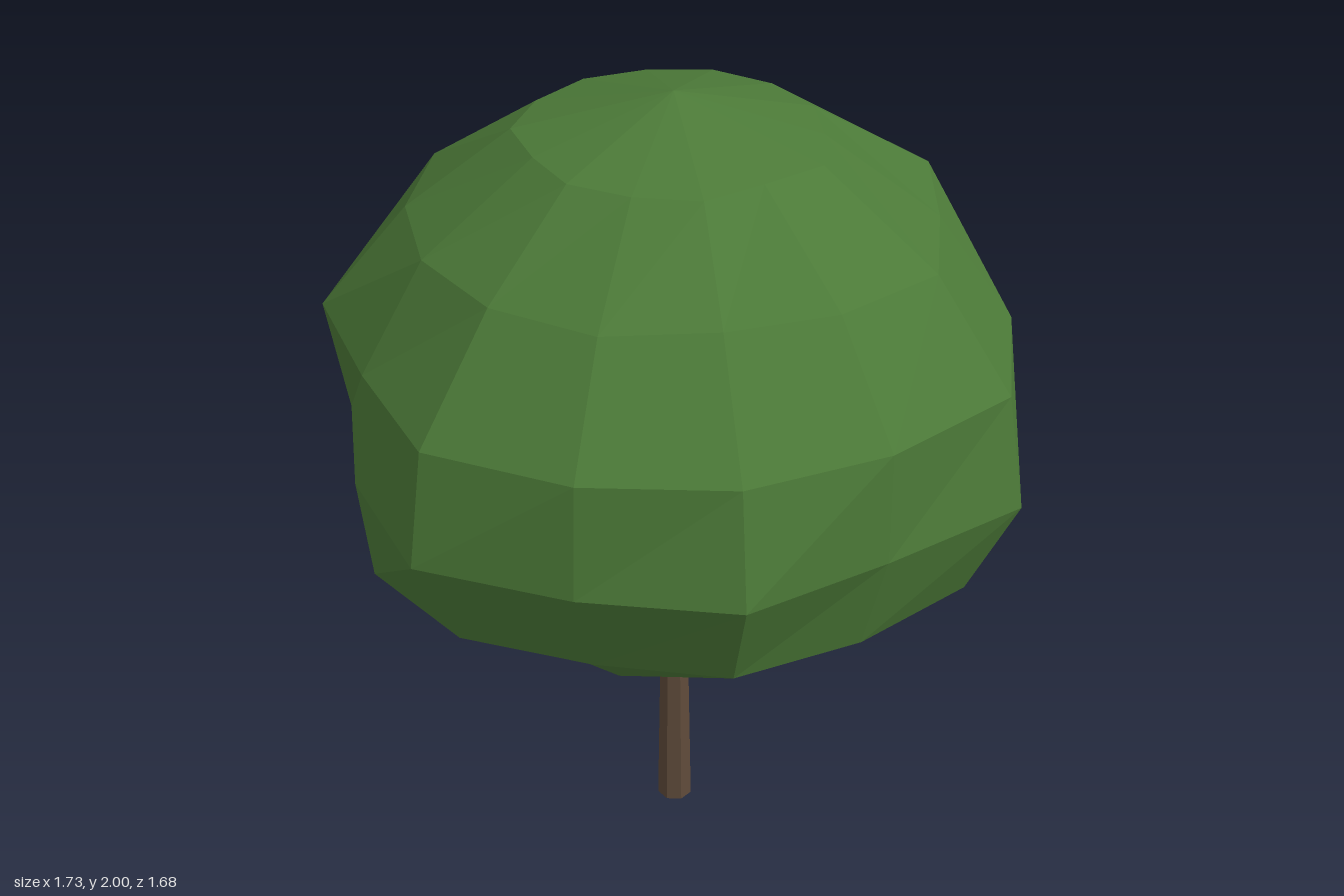
import * as THREE from 'three';

const CENTRE_X = -0.03;
const CENTRE_Z = -0.015;

// Leaf rings from top to bottom: height, then the radius of each of the 14
// vertices, starting at -x and turning through +z, +x and -z.
const RINGS = [
  [1.90, [0.36, 0.37, 0.34, 0.355, 0.345, 0.36, 0.335, 0.375, 0.34, 0.35, 0.35, 0.355, 0.35, 0.36]],
  [1.70, [0.65, 0.62, 0.61, 0.61, 0.61, 0.58, 0.61, 0.66, 0.61, 0.66, 0.60, 0.61, 0.64, 0.63]],
  [1.44, [0.84, 0.83, 0.765, 0.835, 0.80, 0.80, 0.80, 0.85, 0.79, 0.79, 0.825, 0.82, 0.85, 0.83]],
  [1.16, [0.80, 0.78, 0.80, 0.88, 0.82, 0.855, 0.80, 0.895, 0.78, 0.80, 0.81, 0.845, 0.82, 0.80]],
  [0.90, [0.76, 0.74, 0.77, 0.745, 0.69, 0.73, 0.72, 0.77, 0.75, 0.76, 0.775, 0.77, 0.76, 0.75]],
  [0.725, [0.49, 0.48, 0.48, 0.47, 0.49, 0.47, 0.48, 0.49, 0.48, 0.48, 0.49, 0.49, 0.49, 0.48]],
];
const TOP_Y = 2;
const BOTTOM_Y = 0.65;
const SIDES = 14;

// Faceted crown: rings of uneven radius closed by a pole at each end
function crownGeometry() {
  const positions = [0, TOP_Y, 0];
  for (const [y, radii] of RINGS) {
    radii.forEach((r, j) => {
      const a = (j / SIDES) * Math.PI * 2;
      positions.push(-Math.cos(a) * r, y, Math.sin(a) * r);
    });
  }
  positions.push(0, BOTTOM_Y, 0);

  const last = RINGS.length - 1;
  const bottom = 1 + RINGS.length * SIDES;
  const at = (ring, j) => 1 + ring * SIDES + (j % SIDES);
  const index = [];
  for (let j = 0; j < SIDES; j++) {
    index.push(0, at(0, j), at(0, j + 1));
    for (let i = 0; i < last; i++) {
      index.push(at(i, j), at(i + 1, j), at(i, j + 1));
      index.push(at(i + 1, j), at(i + 1, j + 1), at(i, j + 1));
    }
    index.push(at(last, j), bottom, at(last, j + 1));
  }

  const indexed = new THREE.BufferGeometry();
  indexed.setAttribute('position', new THREE.Float32BufferAttribute(positions, 3));
  indexed.setIndex(index);
  const geometry = indexed.toNonIndexed(); // separate faces for flat normals
  geometry.computeVertexNormals();
  return geometry;
}

export function createModel() {
  const leafGreen = new THREE.MeshStandardMaterial({ color: 0x4c7a38, flatShading: true });
  leafGreen.name = 'leafGreen';
  const barkBrown = new THREE.MeshStandardMaterial({ color: 0x5f4b3a, flatShading: true });
  barkBrown.name = 'barkBrown';

  const tree = new THREE.Group();
  tree.name = 'tree';

  const crown = new THREE.Mesh(crownGeometry(), leafGreen);
  crown.name = 'crown';
  crown.position.set(CENTRE_X, 0, CENTRE_Z);

  // Tapered trunk, reaching a little way into the crown
  const trunkHeight = 0.75;
  const trunk = new THREE.Mesh(new THREE.CylinderGeometry(0.031, 0.044, trunkHeight, 7), barkBrown);
  trunk.name = 'trunk';
  trunk.position.set(CENTRE_X, trunkHeight / 2, CENTRE_Z);

  tree.add(crown, trunk);
  return tree;
}
